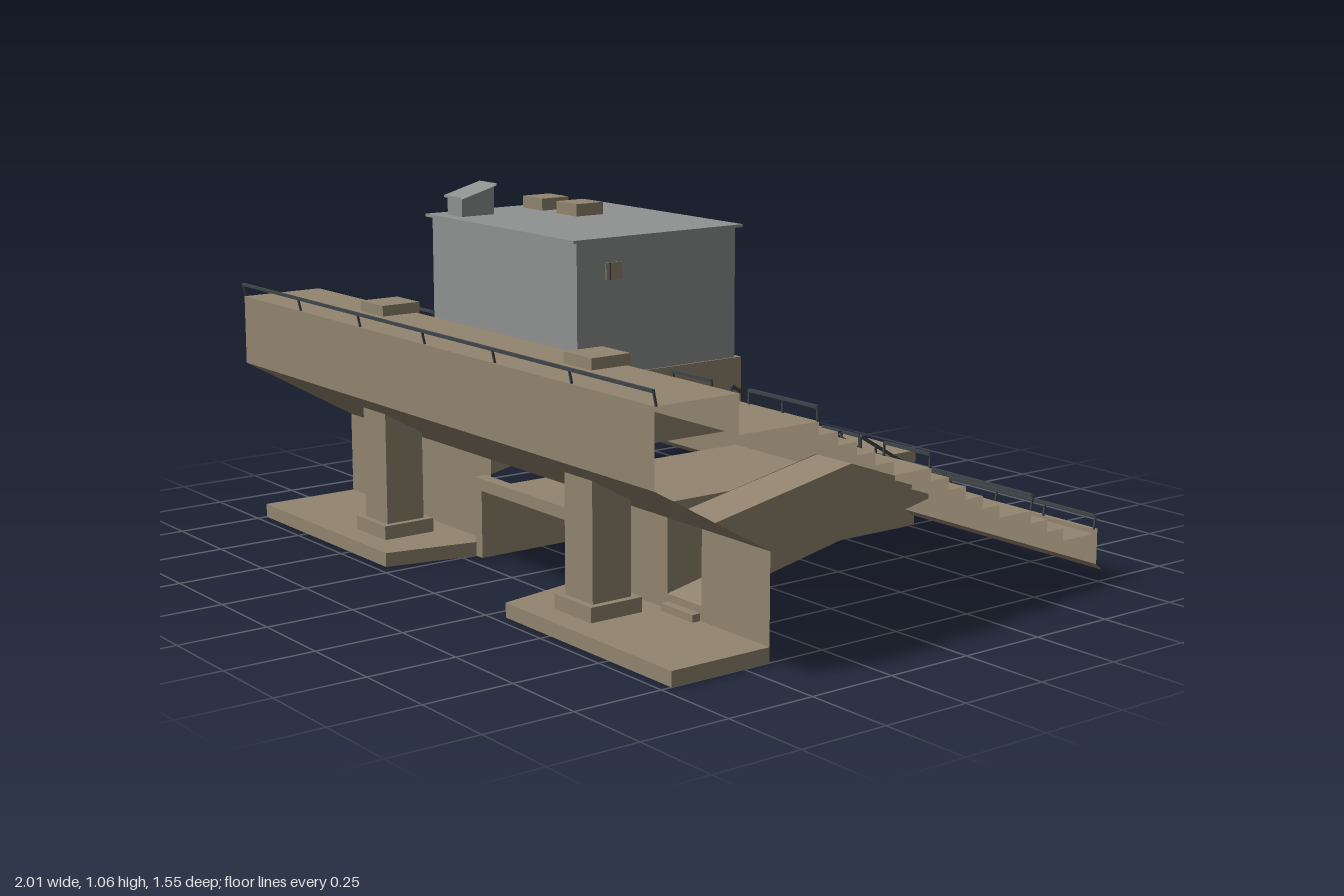
import * as THREE from 'three';

const mat = (name, color, side = THREE.DoubleSide) => {
  const m = new THREE.MeshStandardMaterial({ color, side });
  m.name = name;
  return m;
};

export function createModel() {
  const concrete = mat('concrete tan', 0x938570);
  const cladding = mat('cladding grey', 0x8f9391);
  const steel = mat('railing steel', 0x3f4549);
  const root = new THREE.Group();
  root.name = 'grandstand';

  const add = (name, geo, material, parent = root) => {
    const mesh = new THREE.Mesh(geo, material);
    mesh.name = name;
    parent.add(mesh);
    return mesh;
  };
  // box given by its extents
  const box = (name, x0, x1, y0, y1, z0, z1, m = concrete) => {
    const g = new THREE.BoxGeometry(Math.abs(x1 - x0), y1 - y0, z1 - z0);
    g.translate((x0 + x1) / 2, (y0 + y1) / 2, (z0 + z1) / 2);
    return add(name, g, m);
  };
  // thin folded sheet: a [z, y] profile swept from x0 to x1
  const sheet = (name, profile, x0, x1, m = concrete) => {
    const [a, b] = [Math.min(x0, x1), Math.max(x0, x1)];
    const v = [];
    for (let i = 0; i + 1 < profile.length; i++) {
      const [z0, y0] = profile[i], [z1, y1] = profile[i + 1];
      v.push(a, y0, z0, b, y1, z1, b, y0, z0, a, y0, z0, a, y1, z1, b, y1, z1);
    }
    const g = new THREE.BufferGeometry();
    g.setAttribute('position', new THREE.Float32BufferAttribute(v, 3));
    g.computeVertexNormals();
    return add(name, g, m);
  };
  // flat polygon of [z, y] points at a given x
  const sidePanel = (name, pts, x, m = concrete) => {
    const g = new THREE.ShapeGeometry(new THREE.Shape(pts.map(p => new THREE.Vector2(-p[0], p[1]))));
    g.rotateY(Math.PI / 2);
    g.translate(x, 0, 0);
    return add(name, g, m);
  };
  const bar = (name, a, b, t, m = steel) => {
    const p = new THREE.Vector3(...a), q = new THREE.Vector3(...b);
    const mesh = add(name, new THREE.BoxGeometry(t, t, p.distanceTo(q)), m);
    mesh.position.copy(p).add(q).multiplyScalar(0.5);
    mesh.lookAt(q);
  };
  // handrail from a to b (points at floor level) with n + 1 posts
  const H = 0.036;
  const railing = (a, b, n, lean = 0) => {
    const up = p => [p[0], p[1] + H, p[2] + lean];
    bar('handrail', up(a), up(b), 0.008);
    for (let i = 0; i <= n; i++) {
      const p = a.map((c, k) => c + (b[k] - c) * i / n);
      bar('railPost', p, up(p), 0.005);
    }
  };

  // stepped seating profiles, descending towards -z
  const RUN = 0.0625, RISE = 0.034;
  const steps = (z, y, n) => {
    const pts = [[z, y]];
    for (let i = 0; i < n; i++) {
      pts.push([z, y - RISE]);
      y -= RISE;
      if (i < n - 1) pts.push([z -= RUN, y]);
    }
    return pts;
  };
  const upper = [[0.42, 0.28], [0.77, 0.48], [0.77, 0.68], [0.52, 0.68], [0.52, 0.58],
    ...steps(0.27, 0.58, 5), [-0.11, 0.41]];
  const middle = [...steps(-0.11, 0.41, 5), [-0.48, 0.24]];
  const lower = [...steps(-0.48, 0.24, 3), [-0.725, 0.138], [-0.725, 0.15], [-0.74, 0.15], [-0.74, 0.05], [-0.765, 0.03]];

  const IN = 0.595, OUT = 0.735;
  sheet('upperTier', upper, -1, 1);
  sheet('middleTier', middle, -IN, IN);

  for (const s of [-1, 1]) {
    sheet('middleTierEnd', middle, s * OUT, s);
    sheet('landing', [[-0.375, 0.24], [-0.48, 0.24]], s * IN, s * OUT);
    sheet('lowerTier', lower, s * 0.25, s);

    // wall under the deck with the ramp doorway
    sheet('underDeckWall', [[0.42, 0.28], [0.42, 0]], s * 0.22, s * IN);
    sheet('underDeckWallEnd', [[0.42, 0.28], [0.42, 0]], s * OUT, s);
    sheet('doorSill', [[0.42, 0.08], [0.42, 0]], s * IN, s * OUT);
    box('doorStep', s * 0.6, s * 0.73, 0.04, 0.06, 0.42, 0.445);

    // ramp tunnel through the seating
    const cheek = [[0.42, 0.08], [0.42, 0.28], [-0.1, 0.38], [-0.1, 0.415], [-0.11, 0.415], [-0.38, 0.275], [-0.38, 0.243]];
    for (const x of [IN, OUT]) sidePanel('rampCheek', cheek, s * x);
    sheet('rampFloor', [[0.42, 0.08], [-0.38, 0.243]], s * IN, s * OUT);
    sheet('rampCeiling', [[0.42, 0.28], [-0.11, 0.38], [-0.11, 0.41]], s * IN, s * OUT);

    // footing slab with slanted inner end, open below
    const plan = [[0.24, 0.42], [0.3, 0.72], [1, 0.72], [1, 0.42]];
    const top = new THREE.ShapeGeometry(new THREE.Shape(plan.map(p => new THREE.Vector2(s * p[0], -p[1]))));
    top.rotateX(-Math.PI / 2);
    top.translate(0, 0.04, 0);
    add('footingSlab', top, concrete);
    for (let i = 0; i < 3; i++) {
      const [p, q] = [plan[i], plan[i + 1]];
      const g = new THREE.PlaneGeometry(Math.hypot(q[0] - p[0], q[1] - p[1]), 0.04);
      g.rotateY(-Math.atan2(q[1] - p[1], s * (q[0] - p[0])));
      g.translate(s * (p[0] + q[0]) / 2, 0.02, (p[1] + q[1]) / 2);
      add('footingEdge', g, concrete);
    }

    // column on a pedestal, poking through the deck
    const pedestal = new THREE.CylinderGeometry(0.08 * Math.SQRT2, 0.08 * Math.SQRT2, 0.08, 4, 1, true, Math.PI / 4).toNonIndexed();
    pedestal.computeVertexNormals();
    pedestal.translate(s * 0.5, 0.04, 0.57);
    add('pedestal', pedestal, concrete);
    box('pedestalTop', s * 0.42, s * 0.58, 0.075, 0.08, 0.49, 0.65);
    box('column', s * 0.44, s * 0.56, 0.08, 0.71, 0.51, 0.63);

    // half steps in the aisles
    for (let i = 0; i < 5; i++) {
      const z = 0.02 + i * RUN, y = 0.41 + i * RISE;
      box('aisleStep', s * 0.6, s * 0.73, y, y + RISE / 2, z - 0.03, z);
      const zl = -0.36 + i * RUN, yl = 0.24 + i * RISE;
      box('aisleStep', s * 0.5, s * IN, yl, yl + RISE / 2, zl - 0.03, zl);
      box('aisleStep', s * OUT, s * 0.83, yl, yl + RISE / 2, zl - 0.03, zl);
    }

    // railings along aisles, ramp opening and walkways
    railing([s * 0.665, 0.578, 0.27], [s * 0.665, 0.41, -0.02], 5);
    railing([s * 0.665, 0.41, -0.02], [s * 0.665, 0.41, -0.105], 1);
    for (const x of [IN - 0.005, OUT + 0.005])
      railing([s * x, 0.41, -0.105], [s * x, 0.25, -0.375], 5);
    railing([s * IN, 0.41, -0.105], [s * OUT, 0.41, -0.105], 1);
    railing([s * 0.83, 0.41, -0.105], [s, 0.41, -0.105], 1);
    railing([s * 0.43, 0.58, 0.275], [s * 0.59, 0.58, 0.275], 1);
    railing([s * 0.74, 0.58, 0.275], [s, 0.58, 0.275], 2);
    railing([s * 0.26, 0.15, -0.725], [s, 0.15, -0.725], 4, -0.006);
  }
  railing([-0.5, 0.41, -0.105], [0.5, 0.41, -0.105], 3);
  railing([-1, 0.245, -0.478], [1, 0.245, -0.478], 6, -0.005);
  railing([-1, 0.68, 0.765], [1, 0.68, 0.765], 6, 0.008);

  // central passage with a portal at each end
  const passage = (name, w, h, z0, z1) => {
    const shape = new THREE.Shape([[-w, 0], [-w, h], [w, h], [w, 0], [0.216, 0], [0.216, 0.195], [-0.216, 0.195], [-0.216, 0]]
      .map(p => new THREE.Vector2(...p)));
    const g = new THREE.ExtrudeGeometry(shape, { depth: z1 - z0, bevelEnabled: false });
    g.translate(0, 0, z0);
    add(name, g, concrete);
  };
  passage('passageTunnel', 0.222, 0.2, -0.48, 0.42);
  passage('frontPortal', 0.25, 0.23, 0.42, 0.455);
  passage('fieldPortal', 0.25, 0.226, -0.775, -0.48);

  // base of the viewing box, with a doorway facing the field
  box('boxBase', -0.35, 0.35, 0.41, 0.61, 0.04, 0.51);
  box('boxBaseFront', -0.35, 0.245, 0.41, 0.61, -0.02, 0.04);
  box('boxBaseFront', 0.31, 0.35, 0.41, 0.61, -0.02, 0.04);
  box('boxBaseLintel', 0.245, 0.31, 0.53, 0.61, -0.02, 0.04);

  // viewing box walls, tan lining and floors
  for (const s of [-1, 1]) {
    box('sideWall', s * 0.33, s * 0.345, 0.61, 0.965, 0, 0.52, cladding);
    box('sideLining', s * 0.325, s * 0.33, 0.61, 0.96, 0.012, 0.505);
  }
  box('rearWall', -0.33, 0.33, 0.61, 0.965, 0.505, 0.52, cladding);
  box('rearLining', -0.325, 0.325, 0.61, 0.96, 0.5, 0.505);
  box('middleFloor', -0.325, 0.325, 0.78, 0.792, 0.02, 0.5);
  for (const y of [0.61, 0.792]) {
    box('deskTop', -0.3, 0.3, y + 0.045, y + 0.053, 0.06, 0.12);
    for (const x of [-0.28, -0.09, 0.09, 0.28]) box('deskLeg', x - 0.006, x + 0.006, y, y + 0.045, 0.08, 0.1);
  }

  // open window front
  for (const y of [0.61, 0.775, 0.945]) box('windowBand', -0.33, 0.33, y, y + 0.018, 0, 0.015, cladding);
  for (const y of [0.66, 0.83]) box('windowTransom', -0.33, 0.33, y, y + 0.007, 0.002, 0.01, cladding);
  for (let i = 1; i < 6; i++) {
    const x = -0.33 + i * 0.11;
    box('windowMullion', x - 0.005, x + 0.005, 0.61, 0.96, 0.001, 0.013, cladding);
  }

  // small side windows, side door and its step
  box('sideWindow', 0.345, 0.349, 0.86, 0.905, 0.38, 0.43);
  bar('windowBar', [0.35, 0.86, 0.418], [0.35, 0.905, 0.418], 0.003);
  box('sideWindow', -0.349, -0.345, 0.86, 0.905, 0.11, 0.16);
  box('sideDoor', -0.35, -0.345, 0.61, 0.74, 0.4, 0.48);
  box('sideDoorStep', -0.385, -0.35, 0.58, 0.61, 0.38, 0.515);

  // roof with two curbs and a slant-topped access hut
  box('roof', -0.357, 0.353, 0.963, 0.971, -0.02, 0.535, cladding);
  for (const x of [-0.31, -0.145]) box('roofCurb', x, x + 0.095, 0.971, 1.005, 0.15, 0.24);
  const hut = [[0.495, 0.971], [0.495, 1.02], [0.39, 1.05], [0.39, 0.971]];
  for (const x of [-0.305, -0.232]) sidePanel('hutSide', hut, x, cladding);
  sheet('hutFront', hut.slice(0, 2), -0.305, -0.232, cladding);
  sheet('hutRoof', [[0.502, 1.019], [0.502, 1.025], [0.385, 1.057], [0.385, 1.051], [0.502, 1.019]], -0.311, -0.226, cladding);
  box('hutDoor', -0.29, -0.247, 0.971, 1.03, 0.388, 0.392, steel);

  return root;
}
